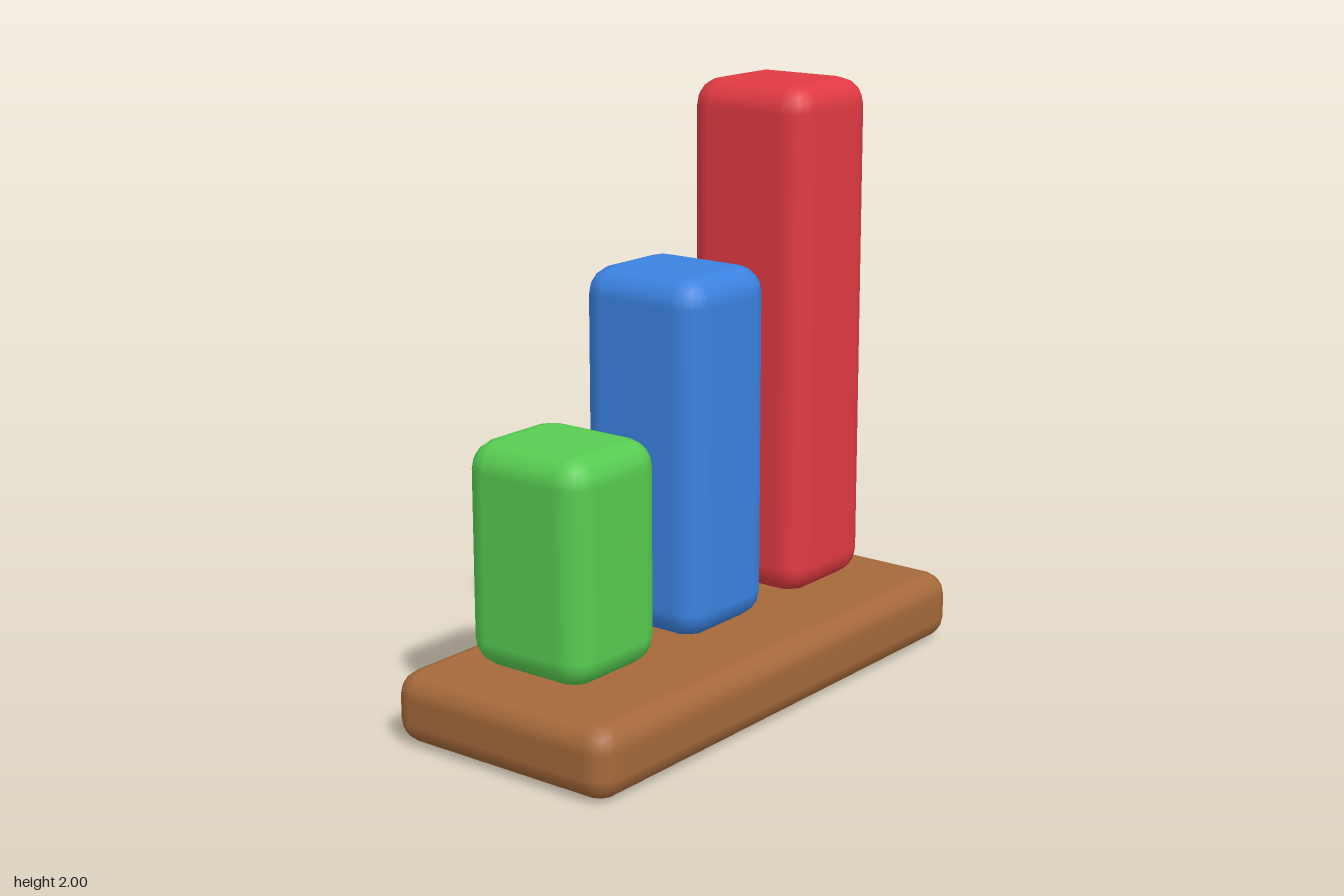
import * as THREE from 'three';
import { RoundedBoxGeometry } from 'three/addons/geometries/RoundedBoxGeometry.js';

function material(name, color) {
  const m = new THREE.MeshStandardMaterial({ color });
  m.name = name;
  return m;
}

// Rounded block standing on height y
function block(name, [w, h, d], radius, [x, y, z], mat) {
  const mesh = new THREE.Mesh(new RoundedBoxGeometry(w, h, d, 2, radius), mat);
  mesh.name = name;
  mesh.position.set(x, y + h / 2, z);
  return mesh;
}

export function createModel() {
  const model = new THREE.Group();
  model.name = 'barChart';

  // Wooden base
  const baseHeight = 0.24;
  model.add(block('base', [1.94, baseHeight, 0.88], 0.08, [0, 0, 0], material('brown', 0xa5693a)));

  // Three bars of rising height, set towards the back of the base
  const bars = [
    ['shortBar', -0.575, 0.745, material('green', 0x57cc51)],
    ['middleBar', 0, 1.205, material('blue', 0x3b82e0)],
    ['tallBar', 0.575, 1.76, material('red', 0xe03a42)],
  ];
  for (const [name, x, height, mat] of bars) {
    model.add(block(name, [0.425, height, 0.48], 0.095, [x, baseHeight, -0.05], mat));
  }

  return model;
}
